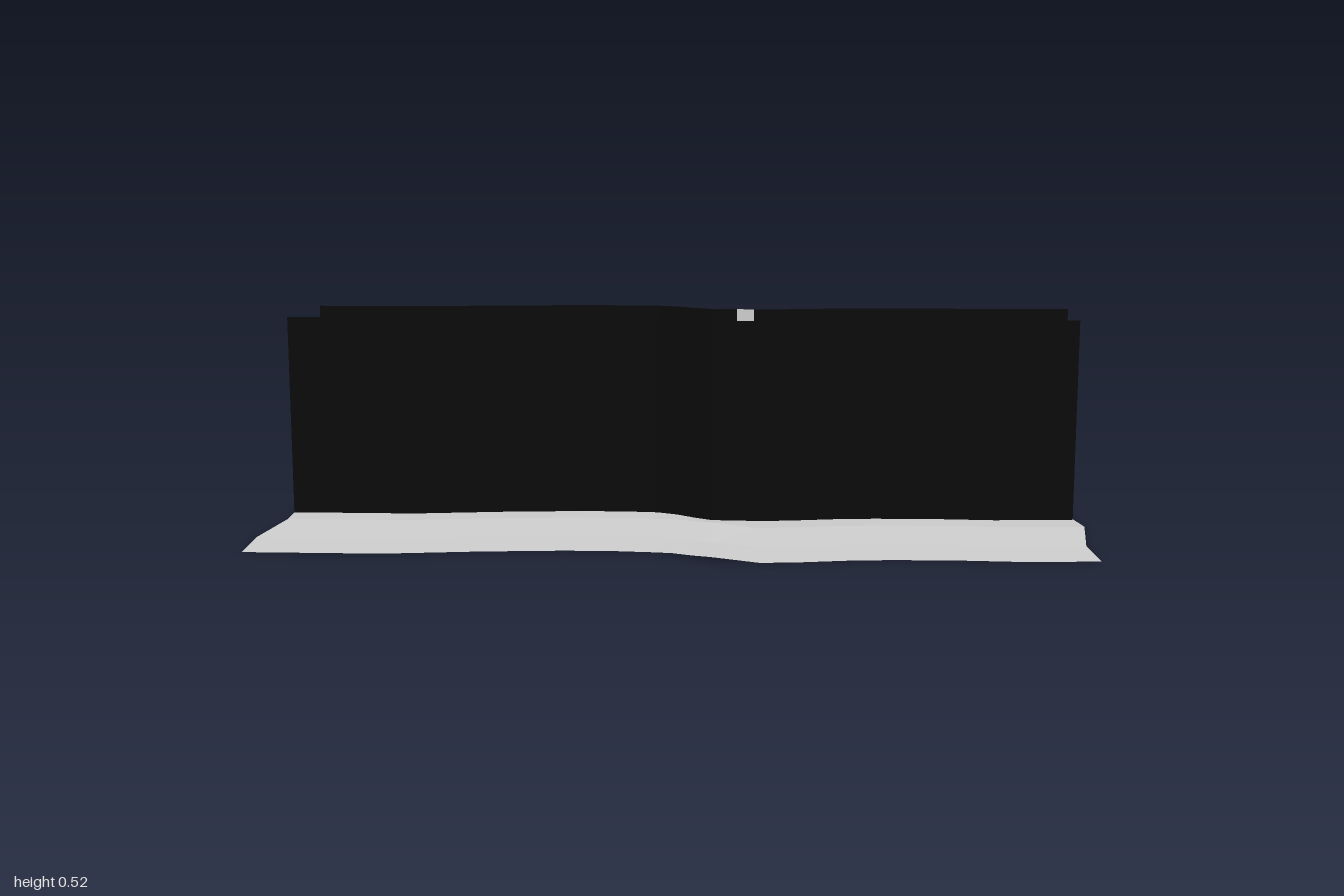
import * as THREE from 'three';

const grey = new THREE.MeshStandardMaterial({ color: 0xcccccc, side: THREE.DoubleSide });
grey.name = 'light grey';
const black = new THREE.MeshStandardMaterial({ color: 0x0a0a0a, side: THREE.DoubleSide });
black.name = 'black';

// Winding path: sideways shift in z along x
const path = [[-1, -0.035], [-0.67, -0.028], [-0.45, -0.054], [-0.25, -0.068], [-0.13, -0.066],
  [-0.05, -0.058], [0, -0.035], [0.05, 0.003], [0.09, 0.028], [0.2, 0.035], [0.28, 0.03],
  [0.4, 0.01], [0.5, 0.002], [0.65, 0.002], [0.8, 0.012], [1, 0.002]];

// Ground rows from back to front: z, height, left end x, right end x, lift near the bend
const rows = [
  [-0.46, 0.001, -0.94, 0.98, 0.02], [-0.31, 0.003, -0.935, 0.985, 0.018],
  [-0.17, 0.012, -0.93, 0.99, 0.006], [-0.08, 0.002, -0.93, 0.995, 0],
  [0.06, 0.002, -0.98, 1, 0], [0.18, 0.012, -0.965, 1, 0.012],
  [0.34, 0.003, -1, 0.97, 0.009], [0.48, 0.001, -0.995, 0.975, 0.011],
];

function shift(x) {
  let i = 1;
  while (i < path.length - 1 && path[i][0] < x) i++;
  const [x0, z0] = path[i - 1], [x1, z1] = path[i];
  return z0 + (z1 - z0) * (x - x0) / (x1 - x0);
}

// Triangular lift rising from a, peaking at b, fading at c
function bump(x, a, b, c) {
  return Math.max(0, Math.min((x - a) / (b - a), (c - x) / (c - b)));
}

// Faceted surface between successive lines of points
function loft(lines) {
  const pos = [];
  for (let r = 0; r < lines.length - 1; r++) {
    for (let i = 0; i < lines[r].length - 1; i++) {
      const a = lines[r][i], b = lines[r][i + 1], c = lines[r + 1][i], d = lines[r + 1][i + 1];
      pos.push(...a, ...c, ...b, ...b, ...c, ...d);
    }
  }
  const g = new THREE.BufferGeometry();
  g.setAttribute('position', new THREE.Float32BufferAttribute(pos, 3));
  g.computeVertexNormals();
  return g;
}

// Upright sheet following the path between two x positions
function wall(name, material, z, from, to, height) {
  const xs = [from, ...path.map(p => p[0]).filter(x => x > from && x < to), to];
  const line = y => xs.map(x => [x, y, z + shift(x)]);
  const mesh = new THREE.Mesh(loft([line(height), line(0)]), material);
  mesh.name = name;
  return mesh;
}

export function createModel() {
  const model = new THREE.Group();
  model.name = 'walledPath';

  // Ground strip with two low ridges
  const lines = rows.map(([z, y, left, right, lift]) => path.map(([px], i) => {
    const x = i === 0 ? left : i === path.length - 1 ? right : px;
    const rise = z < 0 ? bump(x, 0.05, 0.2, 0.29) : bump(x, -0.05, 0.09, 0.2);
    return [x, y + lift * rise, z + shift(x)];
  }));
  const ground = new THREE.Mesh(loft(lines), grey);
  ground.name = 'ground';
  model.add(ground);

  // Two tall walls, the back one with a narrow grey panel
  model.add(
    wall('frontWall', black, 0.06, -0.98, 0.997, 0.505),
    wall('backWallRight', black, -0.08, -0.93, 0.152, 0.52),
    wall('backWallPanel', grey, -0.08, 0.152, 0.195, 0.52),
    wall('backWallLeft', black, -0.08, 0.195, 0.995, 0.52),
  );
  return model;
}
